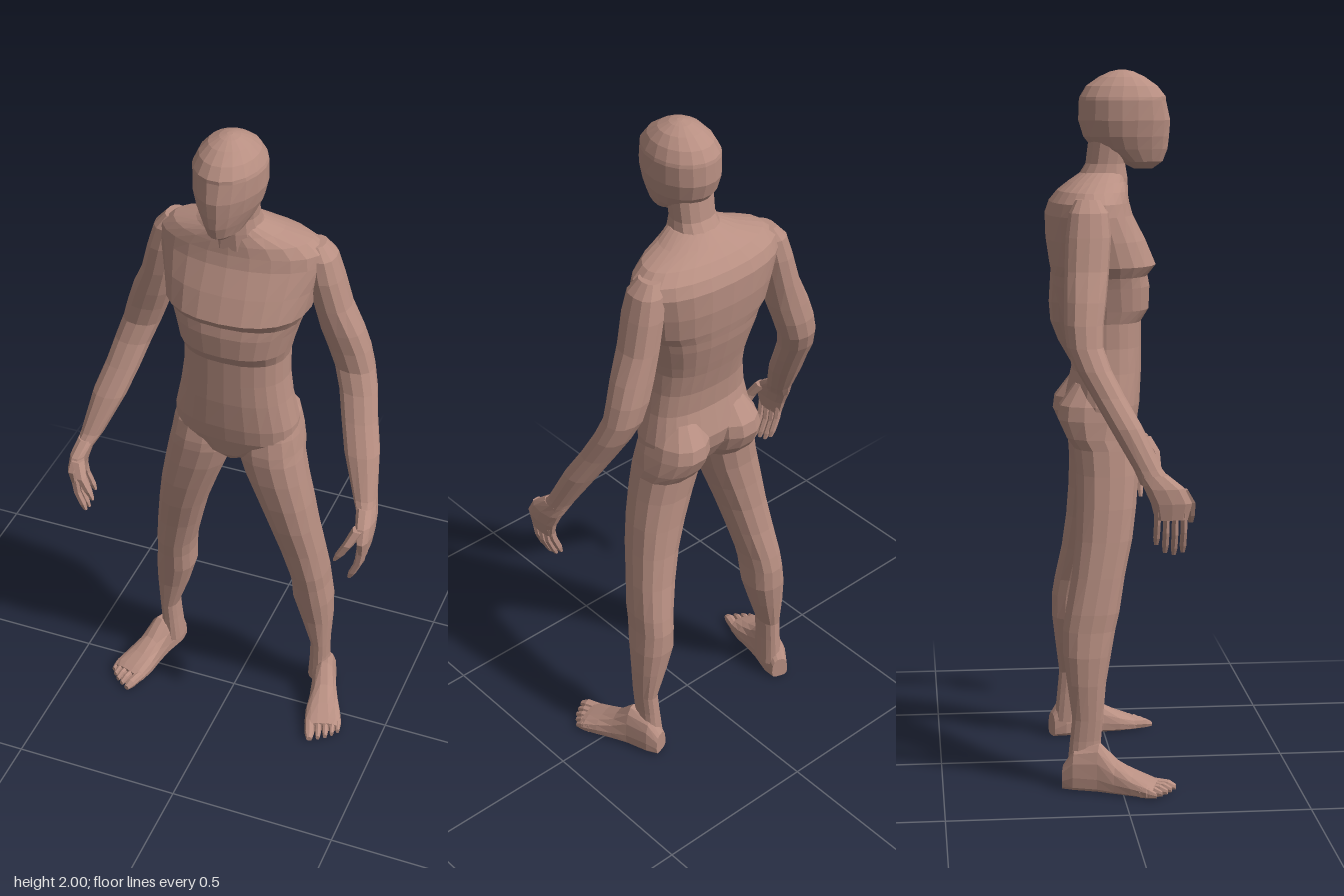
import * as THREE from 'three';

const skin = new THREE.MeshStandardMaterial({ color: 0xb88f82 });
skin.name = 'skin';

// Faceted loft through level rings, listed bottom to top:
// [y, xMin, xMax, zBack, zFront, zWidest, back power, front power]
function loft(name, rings, sides) {
  const pos = [], index = [];
  const bend = (v, p) => Math.sign(v) * Math.pow(Math.abs(v), 2 / p);
  for (const [y, x0, x1, zb, zf, zm = (zb + zf) / 2, pb = 2.3, pf = pb] of rings) {
    for (let j = 0; j < sides; j++) {
      const a = (j / sides) * Math.PI * 2, s = Math.sin(a), p = s > 0 ? pf : pb;
      pos.push((x0 + x1) / 2 + ((x1 - x0) / 2) * bend(Math.cos(a), p), y,
        zm + (s > 0 ? zf - zm : zm - zb) * bend(s, p));
    }
  }
  const n = rings.length;
  for (let i = 0; i < n - 1; i++) {
    for (let j = 0; j < sides; j++) {
      const k = (j + 1) % sides, a = i * sides + j, b = i * sides + k;
      index.push(a, a + sides, b, b, a + sides, b + sides);
    }
  }
  // End caps
  for (const i of [0, n - 1]) {
    const [y, x0, x1, zb, zf, zm = (zb + zf) / 2] = rings[i], c = pos.length / 3;
    pos.push((x0 + x1) / 2, y, zm);
    for (let j = 0; j < sides; j++) {
      const a = i * sides + j, b = i * sides + ((j + 1) % sides);
      if (i === 0) index.push(c, a, b); else index.push(c, b, a);
    }
  }
  let g = new THREE.BufferGeometry();
  g.setAttribute('position', new THREE.Float32BufferAttribute(pos, 3));
  g.setIndex(index);
  g = g.toNonIndexed();
  g.computeVertexNormals();
  const mesh = new THREE.Mesh(g, skin);
  mesh.name = name;
  return mesh;
}

// Ring centred on x = 0
const mid = (y, w, ...rest) => [y, -w, w, ...rest];
// Same rings on the chosen side of the body
const onSide = (s, rings) => rings.map(([y, a, b, ...r]) => (s > 0 ? [y, a, b, ...r] : [y, -b, -a, ...r]));

function makeTorso() {
  return loft('torso', [
    mid(0.93, 0.025, -0.06, 0.03),
    mid(0.96, 0.09, -0.09, 0.055),
    mid(1.02, 0.182, -0.125, 0.068, -0.03, 2.4),
    mid(1.07, 0.182, -0.135, 0.075, -0.03, 2.4),
    mid(1.16, 0.163, -0.115, 0.08, -0.03, 2.4),
    mid(1.23, 0.153, -0.122, 0.08, -0.03, 2.4),
    mid(1.3, 0.152, -0.14, 0.08, -0.03, 2.4),
    mid(1.335, 0.16, -0.15, 0.102, -0.03, 2.4),
    mid(1.40, 0.178, -0.167, 0.104, -0.04, 2.4),
    mid(1.43, 0.188, -0.172, 0.098, -0.04, 2.4),
    mid(1.46, 0.208, -0.178, 0.122, -0.05, 2.4, 2.3),
    mid(1.53, 0.222, -0.188, 0.092, -0.06, 2.4, 2.2),
    mid(1.6, 0.24, -0.19, 0.056, -0.07, 2.3, 2),
    mid(1.635, 0.235, -0.178, 0.046, -0.07, 2.2, 2),
    mid(1.665, 0.2, -0.155, 0.042, -0.07, 2),
    mid(1.69, 0.125, -0.125, 0.038, -0.05, 2),
    mid(1.715, 0.072, -0.09, 0.035, -0.03, 2),
  ], 24);
}

function makeNeck() {
  return loft('neck', [
    mid(1.65, 0.09, -0.13, 0.045),
    mid(1.7, 0.072, -0.1, 0.043),
    mid(1.74, 0.064, -0.075, 0.036),
    mid(1.82, 0.066, -0.065, 0.05),
  ], 14);
}

function makeHead() {
  return loft('head', [
    mid(1.725, 0.022, 0.06, 0.115, 0.08, 2, 1.8),
    mid(1.745, 0.05, 0.02, 0.144, 0.06, 2, 1.7),
    mid(1.78, 0.072, -0.055, 0.158, 0.03, 2, 1.7),
    mid(1.815, 0.088, -0.082, 0.162, 0.02, 2, 1.75),
    mid(1.86, 0.098, -0.096, 0.165, 0.02, 2, 1.8),
    mid(1.915, 0.098, -0.094, 0.152, 0.02, 2, 2),
    mid(1.925, 0.095, -0.092, 0.152, 0.02, 2, 2),
    mid(1.955, 0.08, -0.074, 0.128, 0.025, 2),
    mid(1.98, 0.057, -0.038, 0.092, 0.028, 2),
    mid(1.995, 0.028, -0.005, 0.06, 0.028, 2),
    mid(2, 0.008, 0.02, 0.036, 0.028, 2),
  ], 18);
}

function makeLeg(s) {
  return loft('leg', onSide(s, [
    [0.05, 0.213, 0.282, -0.152, -0.06],
    [0.14, 0.22, 0.277, -0.143, -0.055],
    [0.2, 0.222, 0.279, -0.137, -0.05],
    [0.3, 0.187, 0.285, -0.15, -0.04],
    [0.38, 0.164, 0.284, -0.16, -0.025],
    [0.45, 0.162, 0.275, -0.16, -0.012],
    [0.5, 0.155, 0.272, -0.152, 0],
    [0.6, 0.128, 0.26, -0.132, 0.017],
    [0.7, 0.1, 0.245, -0.12, 0.04],
    [0.79, 0.068, 0.232, -0.115, 0.053],
    [0.88, 0.034, 0.215, -0.114, 0.062],
    [0.95, 0.012, 0.202, -0.12, 0.064],
    [0.98, 0.008, 0.197, -0.142, 0.062],
    [1.03, 0.006, 0.188, -0.165, 0.05, -0.03],
    [1.07, 0.008, 0.178, -0.16, 0.03, -0.03],
    [1.13, 0.03, 0.14, -0.115, 0, -0.04],
  ]), 14);
}

// Foot is lofted along its length, then laid forward and turned out
function makeFoot(s) {
  const foot = new THREE.Group();
  foot.name = 'foot';
  const lay = (name, rings, sides) => {
    const m = loft(name, onSide(s, rings), sides);
    m.geometry.rotateX(Math.PI / 2);
    foot.add(m);
  };
  lay('footBody', [
    [-0.003, -0.025, 0.027, -0.07, 0, -0.025, 2.5, 4],
    [0.03, -0.038, 0.036, -0.12, 0, -0.04, 2.3, 5],
    [0.1, -0.04, 0.036, -0.135, 0, -0.04, 2.2, 5],
    [0.15, -0.046, 0.042, -0.088, 0, -0.03, 2.2, 5],
    [0.2, -0.056, 0.05, -0.06, 0, -0.025, 2.3, 5],
    [0.245, -0.058, 0.055, -0.04, 0, -0.018, 2.5, 5],
    [0.262, -0.054, 0.045, -0.032, 0, -0.015, 2.5, 5],
  ], 14);
  [[-0.042, 0.015, 0.309], [-0.016, 0.01, 0.303], [0.006, 0.01, 0.296], [0.026, 0.009, 0.285], [0.044, 0.009, 0.272]]
    .forEach(([x, r, end]) => lay('toe', [
      [0.225, x - r, x + r, -0.035, 0],
      [end - 0.02, x - r, x + r, -0.03, 0],
      [end, x - r * 0.6, x + r * 0.6, -0.018, -0.002],
    ], 8));
  foot.position.set(s * 0.247, 0, -0.157);
  foot.rotation.y = s * 0.32;
  return foot;
}

function makeArm(s) {
  return loft('arm', onSide(s, [
    [0.9, 0.408, 0.459, 0.035, 0.125],
    [0.94, 0.385, 0.452, 0.018, 0.095],
    [1.05, 0.335, 0.436, -0.045, 0.045],
    [1.13, 0.308, 0.412, -0.09, 0.0],
    [1.2, 0.287, 0.396, -0.13, -0.035],
    [1.26, 0.265, 0.379, -0.154, -0.055],
    [1.32, 0.243, 0.364, -0.16, -0.052],
    [1.38, 0.223, 0.344, -0.158, -0.043],
    [1.46, 0.205, 0.308, -0.155, -0.033],
    [1.55, 0.185, 0.284, -0.15, -0.025],
    [1.615, 0.175, 0.264, -0.14, -0.03],
    [1.65, 0.18, 0.232, -0.12, -0.05],
  ]), 12);
}

function makeHand(s) {
  const hand = new THREE.Group();
  hand.name = 'hand';
  hand.add(loft('palm', onSide(s, [
    [0.805, 0.428, 0.457, 0.072, 0.163],
    [0.85, 0.423, 0.464, 0.06, 0.175],
    [0.89, 0.412, 0.464, 0.042, 0.155],
    [0.925, 0.4, 0.455, 0.025, 0.11],
  ]), 10));
  // Four fingers curling inward, outermost at the front
  for (let i = 0; i < 4; i++) {
    const z = 0.152 - i * 0.024, tip = [0.708, 0.702, 0.708, 0.73][i], r = 0.0095;
    hand.add(loft('finger', onSide(s, [
      [tip, 0.405, 0.417, z - 0.006, z + 0.006],
      [tip + 0.02, 0.408, 0.43, z - r, z + r],
      [tip + 0.06, 0.424, 0.447, z - r, z + r],
      [0.83, 0.43, 0.457, z - r, z + r],
    ]), 6));
  }
  hand.add(loft('thumb', onSide(s, [
    [0.783, 0.369, 0.381, 0.172, 0.186],
    [0.805, 0.375, 0.4, 0.164, 0.189],
    [0.845, 0.395, 0.425, 0.152, 0.188],
    [0.885, 0.412, 0.45, 0.12, 0.165],
  ]), 6));
  return hand;
}

export function createModel() {
  const model = new THREE.Group();
  model.name = 'figure';
  model.add(makeTorso(), makeNeck(), makeHead());
  for (const s of [1, -1]) {
    const limbs = new THREE.Group();
    limbs.name = s > 0 ? 'leftLimbs' : 'rightLimbs';
    limbs.add(makeLeg(s), makeFoot(s), makeArm(s), makeHand(s));
    model.add(limbs);
  }
  return model;
}
